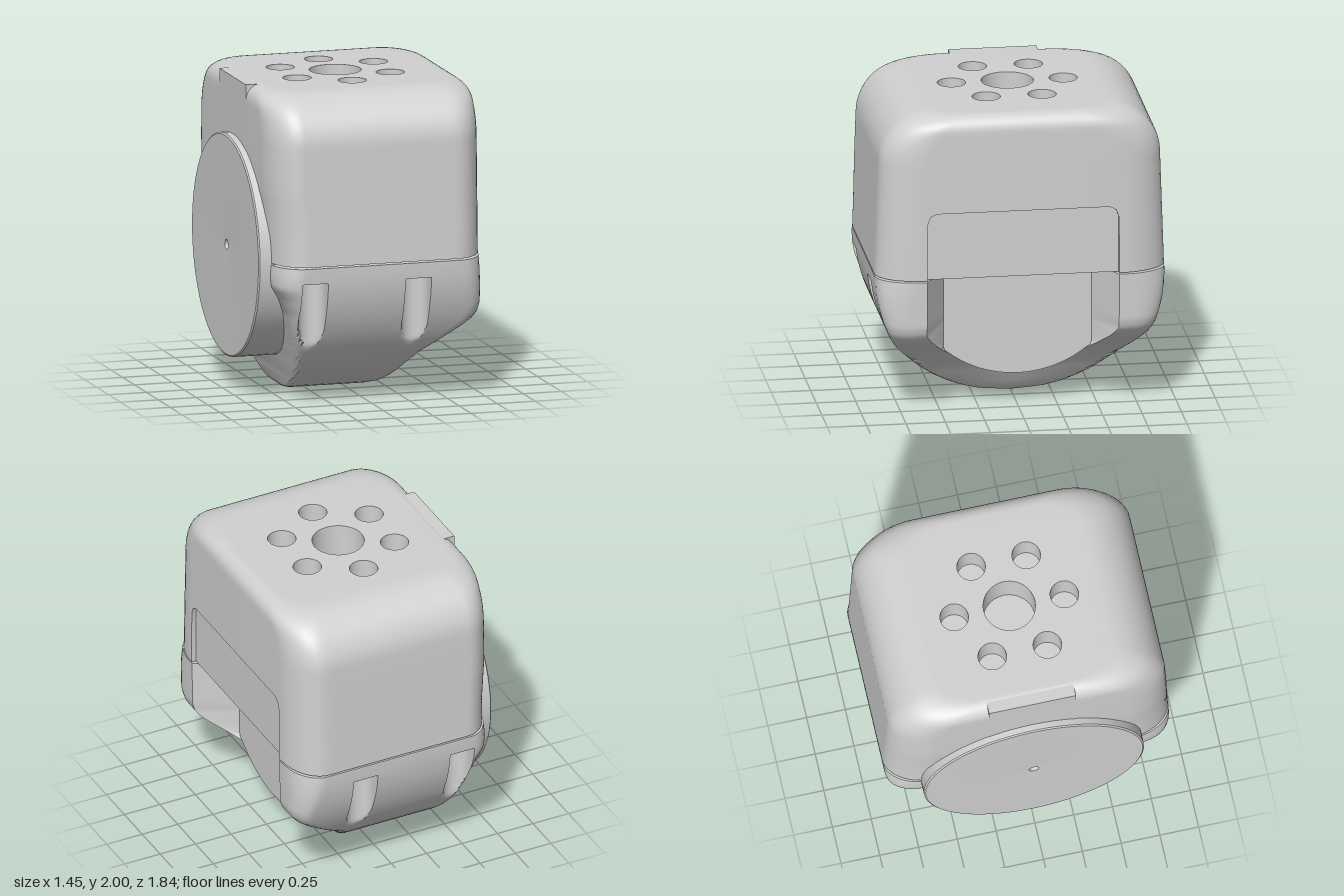
import * as THREE from 'three';
import { toCreasedNormals } from 'three/addons/utils/BufferGeometryUtils.js';

const shell = new THREE.MeshStandardMaterial({ color: 0xd0d0d0 });
shell.name = 'light grey';

const AXLE = 0.92, WHEEL_R = 0.71, HULL_R = 0.92;
const SLOTS = [-0.42, 0.26], SLOT_R = 0.085, SLOT_Z = 0.835;

// Piecewise linear lookup in a table of [key, value] pairs
function lerpTable(table, k) {
  for (let i = 1; i < table.length; i++) {
    const [a, va] = table[i - 1], [b, vb] = table[i];
    if (k <= b) return va + (vb - va) * Math.max(0, (k - a) / (b - a));
  }
  return table[table.length - 1][1];
}

// Horizontal outline: rounded rectangle with optional screw slots and a notch in the +x side
function section({ xl, xr, zh, a, bz, w1 = 0, w2 = 0, xn = xr, slots = false }) {
  const edge = [];
  const put = (px, slot) => {
    const x = Math.min(Math.max(px, xl), xr);
    const t = Math.max(0, 1 - Math.min(x - xl, xr - x) / a);
    let z = zh - bz + bz * Math.sqrt(Math.max(0, 1 - t * t));
    if (slot !== undefined && Math.abs(x - slot) < SLOT_R + 1e-9) {
      z = Math.min(z, SLOT_Z - Math.sqrt(Math.max(0, SLOT_R ** 2 - (x - slot) ** 2)));
    }
    edge.push([x, z]);
  };
  const bore = (c) => {
    for (let i = 0; i <= 12; i++) put(c - SLOT_R * Math.cos((i / 12) * Math.PI), slots ? c : undefined);
  };
  const ease = (i) => 1 - Math.cos((i / 14) * Math.PI / 2);
  const s0 = SLOTS[0] - SLOT_R, s1 = SLOTS[0] + SLOT_R, s2 = SLOTS[1] - SLOT_R, s3 = SLOTS[1] + SLOT_R;
  for (let i = 0; i <= 14; i++) put(xl + (s0 - xl) * ease(i));
  bore(SLOTS[0]);
  for (let i = 0; i <= 8; i++) put(s1 + (s2 - s1) * (i / 8));
  bore(SLOTS[1]);
  for (let i = 14; i >= 0; i--) put(xr - (xr - s3) * ease(i));
  const lim = zh - bz, u = Math.min(w1, lim), v = Math.min(w2, lim);
  const back = edge.map(([x, z]) => [x, -z]).reverse();
  return [...edge, [xr, u], [xn, v], [xn, -v], [xr, -u], ...back];
}

// Skin over stacked outlines, closed at both ends; the top may have round holes
function loft(levels, holes = []) {
  const pos = [];
  const tri = (a, b, c) => {
    const A = new THREE.Vector3(...a), B = new THREE.Vector3(...b), C = new THREE.Vector3(...c);
    if (B.clone().sub(A).cross(C.clone().sub(A)).length() > 1e-9) pos.push(...a, ...b, ...c);
  };
  for (let l = 1; l < levels.length; l++) {
    const lo = levels[l - 1], hi = levels[l], n = lo.pts.length;
    const P = (lv, k) => [lv.pts[k][0], lv.y, lv.pts[k][1]];
    for (let i = 0; i < n; i++) {
      const j = (i + 1) % n;
      tri(P(lo, i), P(lo, j), P(hi, j));
      tri(P(lo, i), P(hi, j), P(hi, i));
    }
  }
  const cap = ({ y, pts }, up, cuts) => {
    const contour = pts.filter((p, i) => {
      const q = pts[(i + 1) % pts.length];
      return Math.hypot(p[0] - q[0], p[1] - q[1]) > 1e-6;
    }).map(([x, z]) => new THREE.Vector2(x, -z));
    const all = [contour, ...cuts].flat();
    for (const f of THREE.ShapeUtils.triangulateShape(contour, cuts)) {
      const [A, B, C] = f.map((k) => all[k]);
      const ccw = (B.x - A.x) * (C.y - A.y) - (B.y - A.y) * (C.x - A.x) > 0;
      const [p, q, r] = [A, B, C].map((v) => [v.x, y, -v.y]);
      if (ccw === up) tri(p, q, r); else tri(p, r, q);
    }
  };
  cap(levels[0], false, []);
  cap(levels[levels.length - 1], true, holes);
  const g = new THREE.BufferGeometry();
  g.setAttribute('position', new THREE.Float32BufferAttribute(pos, 3));
  return toCreasedNormals(g, 0.6);
}

export function createModel() {
  const group = new THREE.Group();
  const add = (name, geo, parent = group) => {
    const m = new THREE.Mesh(geo, shell);
    m.name = name;
    parent.add(m);
    return m;
  };

  // Bolt pattern in the top: one large hole and a ring of six
  const bolts = [{ x: -0.005, z: 0, r: 0.165, d: 0.25 }];
  for (let i = 0; i < 6; i++) {
    const t = Math.PI / 2 + i * Math.PI / 3;
    bolts.push({ x: 0.355 * Math.cos(t) - 0.005, z: 0.355 * Math.sin(t), r: 0.09, d: 0.2 });
  }
  const holes = bolts.map((b) => Array.from({ length: 32 }, (_, i) => {
    const t = i / 32 * Math.PI * 2;
    return new THREE.Vector2(b.x + b.r * Math.cos(t), -b.z + b.r * Math.sin(t));
  }));

  // Upper housing with rounded top and a shallow recessed panel in its side
  const upper = [];
  const addUpper = (y, w) => {
    const fz = Math.max(0, (y - 1.67) / 0.33), fx = Math.max(0, (y - 1.9) / 0.1);
    const zh = fz > 0 ? 0.565 + 0.33 * Math.sqrt(Math.max(0, 1 - fz * fz))
      : 0.92 - 0.025 * (y - 0.93) / 0.74;
    const inset = 0.1 * (1 - Math.sqrt(Math.max(0, 1 - fx * fx)));
    const xl = lerpTable([[0.93, -0.655], [1.1, -0.657], [1.4, -0.68]], y) + inset;
    const xr = 0.72 - inset;
    upper.push({ y, pts: section({ xl, xr, zh, a: 0.2, bz: 0.3, w1: w, w2: w, xn: w ? 0.69 : xr }) });
  };
  [[0.93, 0.61], [1.1, 0.61], [1.3, 0.61], [1.35, 0.59], [1.37, 0.55], [1.37, 0], [1.5, 0], [1.67, 0]]
    .forEach(([y, w]) => addUpper(y, w));
  for (let i = 1; i <= 14; i++) addUpper(1.67 + 0.33 * Math.sin((i / 14) * Math.PI / 2), 0);
  add('upperHousing', loft(upper, holes));

  // Blind bolt holes
  const boltHoles = new THREE.Group();
  boltHoles.name = 'boltHoles';
  group.add(boltHoles);
  for (const b of bolts) {
    // inward-facing wall and floor, profile drawn from the rim down to the centre
    const pts = [[b.r, 0], [b.r, -b.d], [0, -b.d]].map(([r, y]) => new THREE.Vector2(r, y));
    const wall = new THREE.LatheGeometry(pts, 32);
    add('boltHole', toCreasedNormals(wall.toNonIndexed(), 0.6), boltHoles).position.set(b.x, 2, b.z);
  }

  // Raised boss above the drum
  add('sideBoss', new THREE.BoxGeometry(0.16, 0.6, 0.56).translate(-0.602, 1.696, 0));

  // Lower housing: half drum, tapered below, open on one side, slotted front and back
  const leftX = [[0, -0.37], [0.03, -0.405], [0.25, -0.455], [0.6, -0.55], [0.7, -0.595], [0.78, -0.645], [0.84, -0.655]];
  const rightX = [[0, 0.13], [0.03, 0.18], [0.07, 0.21], [0.22, 0.3], [0.31, 0.38], [0.48, 0.62],
    [0.52, 0.667], [0.56, 0.697], [0.61, 0.712], [0.92, 0.718]];
  const lower = [];
  const addLower = (y, slots) => {
    const dy = AXLE - y, xr = lerpTable(rightX, y);
    const a = 0.04 + 0.14 * (y / AXLE) ** 2;
    const zh = Math.sqrt(Math.max(0, HULL_R ** 2 - dy * dy));
    const c = Math.sqrt(Math.max(0, WHEEL_R ** 2 - dy * dy));
    lower.push({
      y, pts: section({
        xl: lerpTable(leftX, y), xr, zh, a, bz: Math.min(1.5 * a, zh * 0.5), slots,
        w1: Math.min(0.61, c), w2: Math.min(0.47, c), xn: Math.min(0.45, xr),
      }),
    });
  };
  [0.002, 0.008, 0.018, 0.03, 0.05, 0.07, 0.1, 0.14, 0.18, 0.22, 0.26, 0.31, 0.35].forEach((y) => addLower(y, true));
  for (let y = 0.38; y < 0.81; y += 0.02) addLower(y, true);
  addLower(0.82, true);
  [0.82, 0.87, 0.92].forEach((y) => addLower(y, false));
  add('lowerHousing', loft(lower));

  // Drum across the housing with a small centre hole in its outer face
  const profile = [[0, -0.68], [0.028, -0.68], [0.032, -0.722], [0.2, -0.728], [0.7, -0.73], [0.71, -0.722],
    [0.71, 0.452], [0, 0.452]].map(([r, x]) => new THREE.Vector2(r, x));
  const drum = new THREE.LatheGeometry(profile, 72).rotateZ(-Math.PI / 2);
  add('drum', toCreasedNormals(drum.toNonIndexed(), 0.5)).position.y = AXLE;

  return group;
}
